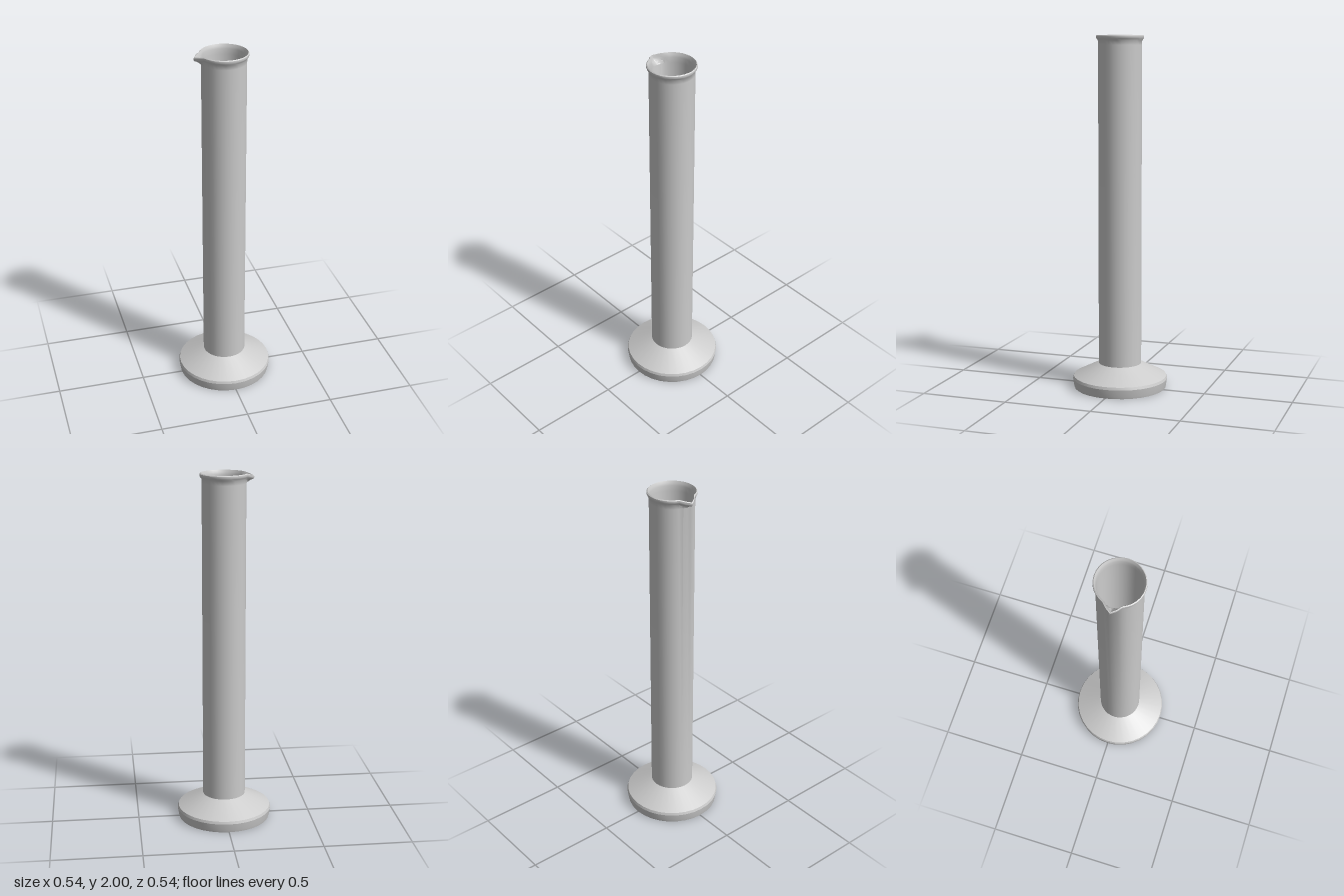
import * as THREE from 'three';
import { toCreasedNormals } from 'three/addons/utils/BufferGeometryUtils.js';

const SEGMENTS = 32;

// Turns a [radius, height] profile around the y axis.
function turned(profile) {
  return new THREE.LatheGeometry(profile.map(([r, y]) => new THREE.Vector2(r, y)), SEGMENTS);
}

// Pulls the rim out and slightly down into a pointed spout on the -x side.
function pullSpout(geometry) {
  const pos = geometry.attributes.position;
  const halfAngle = Math.PI / 8;
  for (let i = 0; i < pos.count; i++) {
    const x = pos.getX(i), y = pos.getY(i), z = pos.getZ(i);
    const r = Math.hypot(x, z);
    if (y < 1.9 || r < 0.05) continue;
    const side = Math.max(0, 1 - Math.abs(Math.atan2(z, -x)) / halfAngle);
    const height = THREE.MathUtils.clamp((y - 1.945) / 0.035, 0, 1);
    const scale = (r + 0.032 * side * height) / r;
    pos.setXYZ(i, x * scale, y - 0.014 * side * height, z * scale);
  }
}

export function createModel() {
  const group = new THREE.Group();
  const material = new THREE.MeshStandardMaterial({ color: 0xcccccc, side: THREE.DoubleSide });
  const add = (name, geometry, crease) => {
    const mesh = new THREE.Mesh(toCreasedNormals(geometry, crease), material);
    mesh.name = name;
    group.add(mesh);
  };

  // Flared foot, hollow underneath
  add('foot', turned([
    [0, 0.075], [0.15, 0.075], [0.25, 0.03], [0.254, 0],
    [0.262, 0], [0.265, 0.012], [0.271, 0.052], [0.266, 0.067], [0.122, 0.14],
  ]), 0.42);

  // Tube: outer wall, rolled rim, inner wall and dished floor
  const tube = turned([
    [0.122, 0.14], [0.122, 1.945], [0.123, 1.97], [0.13, 1.979], [0.134, 1.988], [0.133, 1.996],
    [0.128, 2], [0.122, 1.988], [0.119, 1.975], [0.118, 1.945],
    [0.118, 0.17], [0.1, 0.155], [0.06, 0.143], [0.02, 0.138], [0, 0.138],
  ]);
  pullSpout(tube);
  add('tube', tube, 0.7);

  return group;
}
